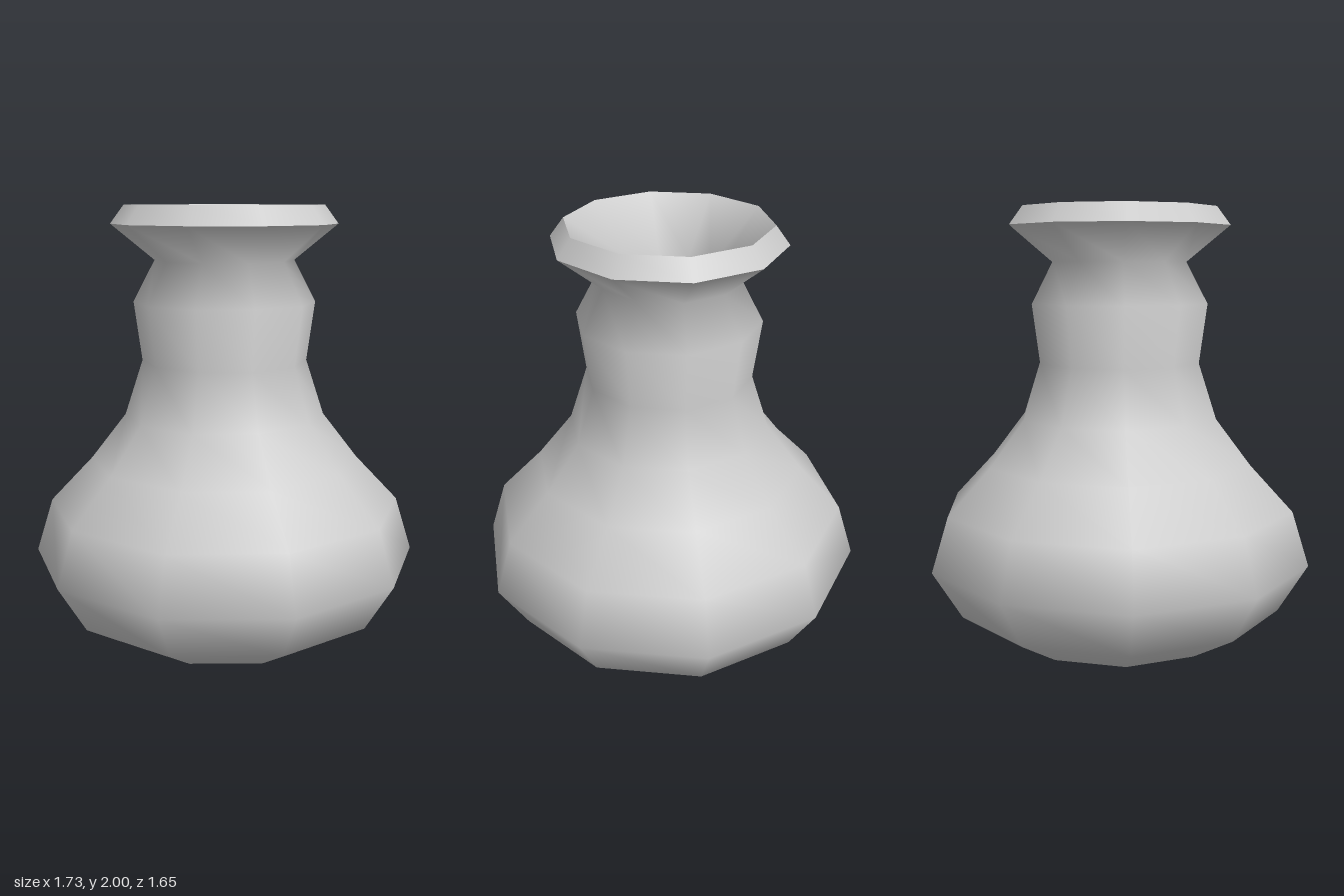
import * as THREE from 'three';

const SIDES = 10;
const material = new THREE.MeshStandardMaterial({ color: 0xcccccc });

// Revolve a [radius, height] profile, with a corner on the x axis
function lathe(name, profile) {
  const points = profile.map(([r, y]) => new THREE.Vector2(r, y));
  const mesh = new THREE.Mesh(new THREE.LatheGeometry(points, SIDES, Math.PI / 2), material);
  mesh.name = name;
  return mesh;
}

export function createModel() {
  const vase = new THREE.Group();
  vase.name = 'vase';

  // Outer wall, from the foot up to the underside of the lip
  const outer = [
    [0.265, 0], [0.505, 0.09], [0.735, 0.225], [0.865, 0.44], [0.79, 0.68], [0.6, 0.88],
    [0.445, 1.08], [0.365, 1.325], [0.4, 1.585], [0.305, 1.765], [0.495, 1.92],
  ];

  // Inner wall, one wall thickness inside, from the lip down to the floor
  const inner = [
    [0.435, 2], [0.2, 1.78], [0.3, 1.565], [0.265, 1.31], [0.355, 1.03], [0.53, 0.81],
    [0.71, 0.62], [0.765, 0.445], [0.67, 0.3], [0.46, 0.18], [0.25, 0.1], [0, 0.1],
  ];

  vase.add(
    lathe('base', [[0, 0], outer[0]]),
    lathe('outerWall', outer),
    lathe('lip', [outer[outer.length - 1], inner[0]]),
    lathe('innerWall', inner),
  );
  return vase;
}
